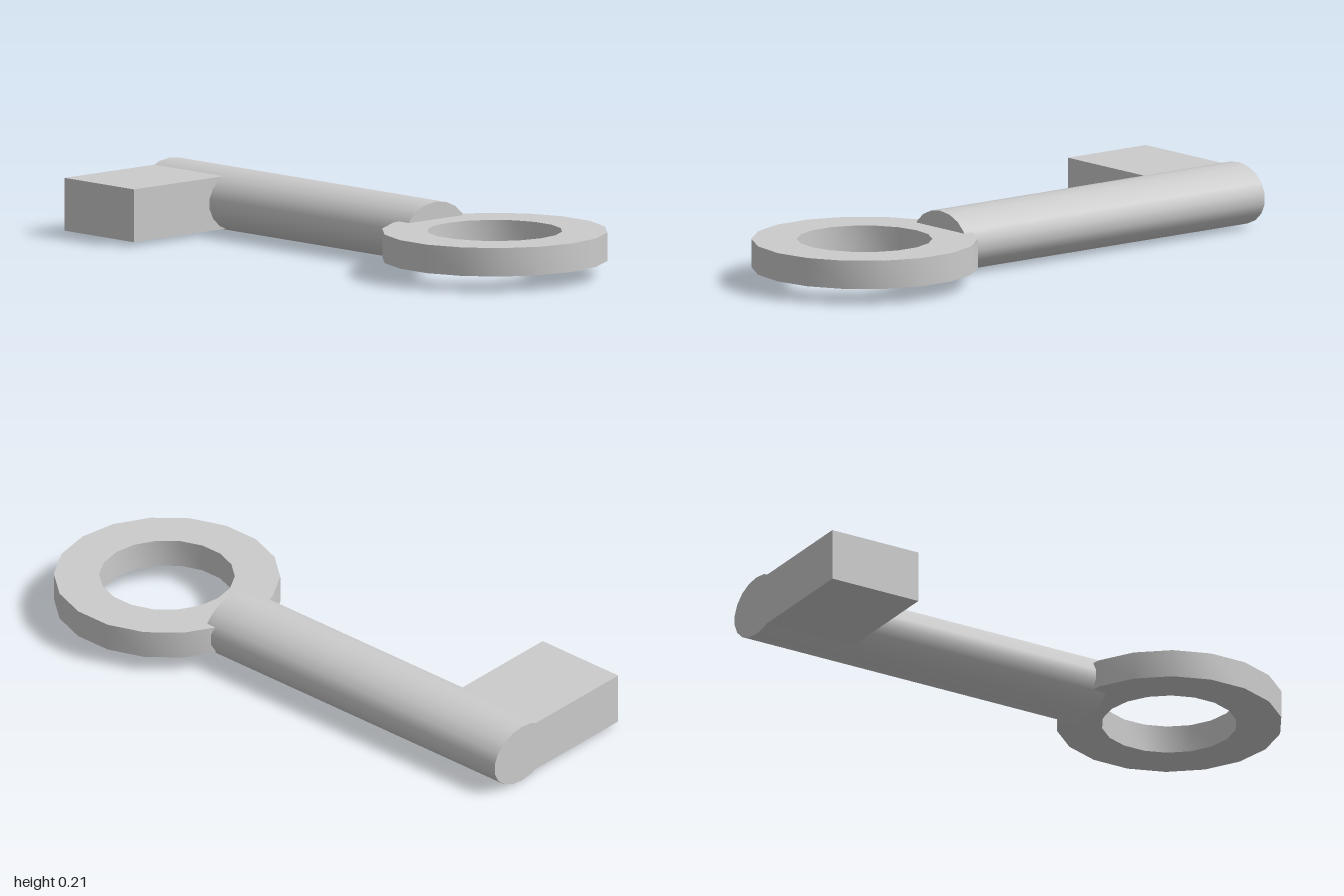
import * as THREE from 'three';
import { toCreasedNormals } from 'three/addons/utils/BufferGeometryUtils.js';

const SIDES = 18;

export function createModel() {
  const group = new THREE.Group();
  const material = new THREE.MeshStandardMaterial({ color: 0xcccccc });

  function add(name, geometry, x, y, z) {
    const mesh = new THREE.Mesh(geometry, material);
    mesh.name = name;
    mesh.position.set(x, y, z);
    group.add(mesh);
  }

  // Shaft: a cylinder lying along x, slightly flattened in height
  const shaft = new THREE.CylinderGeometry(1, 1, 1.305, SIDES, 1, false, Math.PI / 2);
  shaft.rotateZ(Math.PI / 2);
  shaft.scale(1, 0.105, 0.14);
  add('shaft', shaft, -0.3475, 0.108, -0.067);

  // Bit: a block reaching forward from inside the shaft's end
  add('bit', new THREE.BoxGeometry(0.34, 0.18, 0.48), -0.83, 0.106, 0.18);

  // Bow: a flat ring with a rectangular section
  const inner = 0.228, outer = 0.381, half = 0.0485;
  const section = [
    [inner, -half], [outer, -half], [outer, half], [inner, half], [inner, -half],
  ].map(([r, y]) => new THREE.Vector2(r, y));
  const bow = new THREE.LatheGeometry(section, SIDES, Math.PI / 2);
  add('bow', toCreasedNormals(bow, 0.6), 0.618, 0.105, -0.044);

  return group;
}
